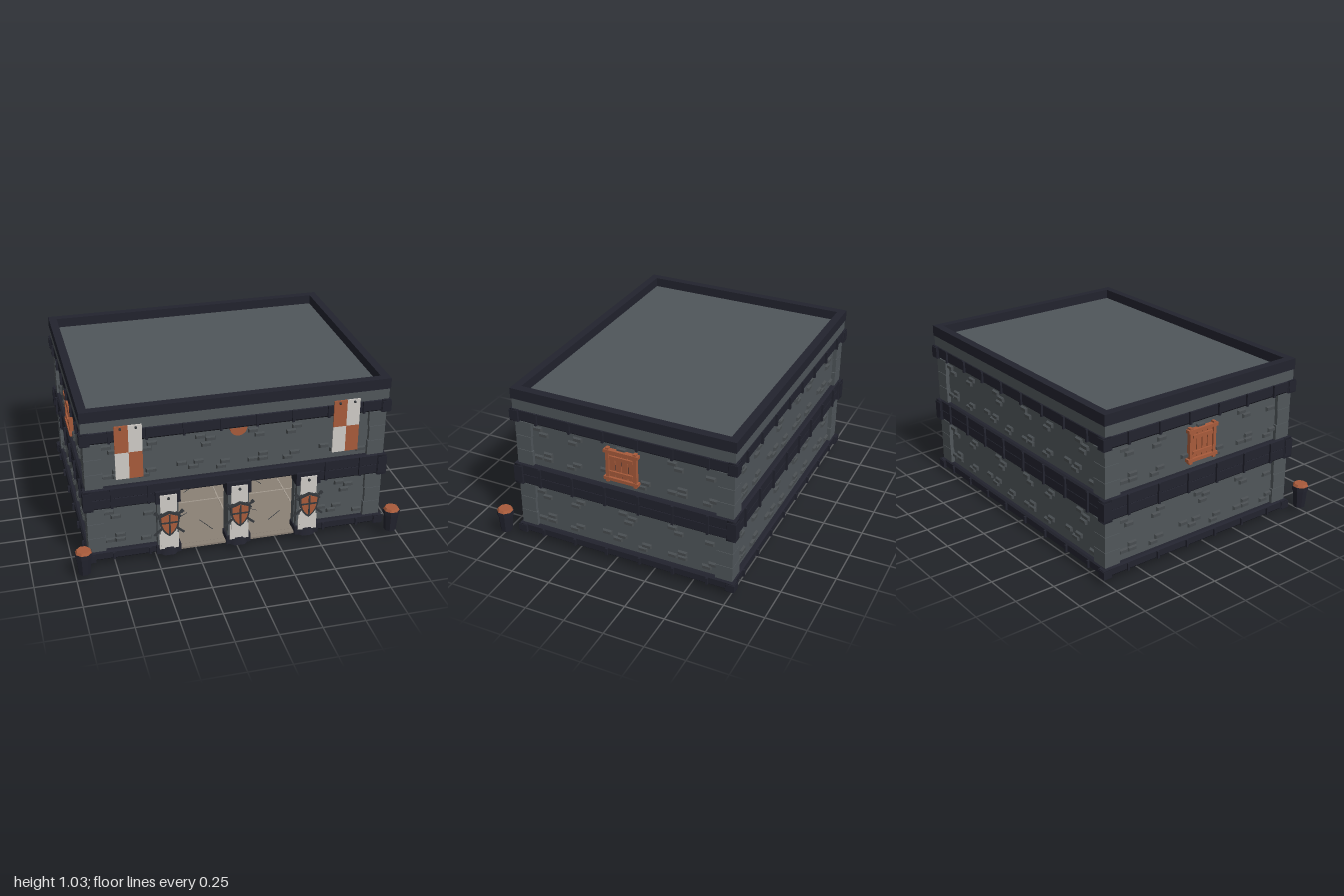
import * as THREE from 'three';

const mat = (name, color) => {
  const m = new THREE.MeshStandardMaterial({ color });
  m.name = name;
  return m;
};
const stone = mat('grey stone', 0x50565a);
const brickStone = mat('dark stone', 0x484d50);
const trim = mat('navy trim', 0x22232e);
const rust = mat('rust orange', 0xa85b3b);
const cloth = mat('white cloth', 0xcfccc7);
const tan = mat('tan floor', 0x8b8176);
const iron = mat('iron', 0x35393d);
const grout = mat('pale joint', 0xa59c90);

function add(parent, name, geo, material, x = 0, y = 0, z = 0) {
  const m = new THREE.Mesh(geo, material);
  m.name = name;
  m.position.set(x, y, z);
  parent.add(m);
  return m;
}
const box = (parent, name, material, w, h, d, x, y, z) =>
  add(parent, name, new THREE.BoxGeometry(w, h, d), material, x, y, z);

// box whose front face is drawn in by c on every side
function chamferBox(w, h, d, c) {
  const g = new THREE.BoxGeometry(w, h, d).toNonIndexed();
  const p = g.attributes.position;
  for (let i = 0; i < p.count; i++) {
    if (p.getZ(i) > 0) {
      p.setX(i, p.getX(i) - Math.sign(p.getX(i)) * c);
      p.setY(i, p.getY(i) - Math.sign(p.getY(i)) * c);
    }
  }
  g.computeVertexNormals();
  return g;
}

// rectangular course around the building, optionally open at the front
function course(hx, hz, t, y0, y1, gap = 0, b = 0) {
  const ix = hx - t, iz = hz - t;
  const pts = (a) => a.map(([x, y]) => new THREE.Vector2(x, y));
  let shape;
  if (gap) {
    shape = new THREE.Shape(pts([[gap, -hz], [hx, -hz], [hx, hz], [-hx, hz], [-hx, -hz], [-gap, -hz],
      [-gap, -iz], [-ix, -iz], [-ix, iz], [ix, iz], [ix, -iz], [gap, -iz]]));
  } else {
    shape = new THREE.Shape(pts([[-hx, -hz], [hx, -hz], [hx, hz], [-hx, hz]]));
    shape.holes.push(new THREE.Path(pts([[-ix, -iz], [-ix, iz], [ix, iz], [ix, -iz]])));
  }
  const g = new THREE.ExtrudeGeometry(shape, {
    depth: y1 - y0 - 2 * b, bevelEnabled: b > 0, bevelSize: b, bevelOffset: -b, bevelThickness: b, bevelSegments: 1,
  });
  return g.rotateX(-Math.PI / 2).translate(0, y0 + b, 0);
}

// scattered raised bricks: offset along the wall, height
const BRICKS = [[0, .35], [.04, .318], [.267, .345], [.233, .312], [.55, .35], [.61, .33], [.585, .295],
  [0, .157], [.063, .188], [.063, .155], [.217, .142], [.258, .169], [.44, .188], [.54, .188],
  [.508, .158], [.675, .137], [.70, .168]];
const WX = 0.885, WZ = 0.67, GAP = 0.36;

function wallDetail(parent, name, angle, half, dist, start, isFront) {
  const g = new THREE.Group();
  g.name = name;
  g.rotation.y = angle;
  parent.add(g);
  const brick = chamferBox(.062, .03, .014, .006);
  for (const lift of [0, .433]) for (const rep of [0, .867]) for (const [u, v] of BRICKS) {
    const x = start + rep + u;
    if (x > half - .1 || (isFront && !lift && Math.abs(x) < .52)) continue;
    add(g, 'brick', brick, brickStone, x, v + lift, dist + .007);
  }
  // ribs on the trim bands
  const n = Math.round(half * 2 / .217);
  for (let i = 0; i < n; i++) {
    const x = (i - (n - 1) / 2) * .217;
    box(g, 'bandRib', trim, .014, .075, .03, x, .862, dist + .028);
    if (isFront && Math.abs(x) < .5) continue;
    box(g, 'bandRib', trim, .014, .125, .03, x, .46, dist + .028);
    box(g, 'baseRib', trim, .014, .045, .03, x, .067, dist + .028);
  }
  return g;
}

// slatted wooden shutter, facing +z
function shutter(parent, dist) {
  const g = new THREE.Group();
  g.name = 'shutter';
  g.position.set(0, .68, dist);
  parent.add(g);
  box(g, 'shutterBack', trim, .18, .18, .008, 0, 0, .004);
  for (const s of [-1, 1]) {
    box(g, 'shutterPost', rust, .02, .225, .025, s * .088, -.002, .014);
    box(g, 'shutterRail', rust, .22, .02, .03, 0, s * .09, .016);
    box(g, 'shutterBar', rust, .145, .022, .024, 0, s * .05, .014);
  }
  for (let i = 0; i < 4; i++) box(g, 'shutterSlat', rust, .034, .165, .014, (i - 1.5) * .04, 0, .009);
}

function heater(w, h) {
  const s = new THREE.Shape();
  s.moveTo(0, h * .5);
  s.lineTo(w * .5, h * .36);
  s.quadraticCurveTo(w * .52, -h * .25, 0, -h * .5);
  s.quadraticCurveTo(-w * .52, -h * .25, -w * .5, h * .36);
  return s;
}

// column with base, cap, hanging cloth, shield and crossed swords
function column(parent, x) {
  const g = new THREE.Group();
  g.name = 'bannerColumn';
  g.position.set(x, 0, .67);
  parent.add(g);
  box(g, 'shaft', stone, .13, .4, .1, 0, .24, -.015);
  add(g, 'columnBase', new THREE.CylinderGeometry(.062, .078, .06, 8), trim, 0, .07, 0).rotation.y = Math.PI / 8;
  box(g, 'columnFoot', trim, .15, .055, .1, 0, .068, 0);
  box(g, 'columnCap', trim, .15, .08, .1, 0, .43, 0);
  box(g, 'cloth', cloth, .1, .37, .008, 0, .265, .056);
  box(g, 'clothFoot', cloth, .116, .1, .008, 0, .13, .055);
  add(g, 'clothPin', new THREE.SphereGeometry(.009, 8, 6), iron, 0, .43, .064);
  for (const s of [-1, 1]) {
    const sword = new THREE.Group();
    sword.name = 'sword';
    sword.position.set(0, .265, .064);
    sword.rotation.z = s * .85;
    g.add(sword);
    box(sword, 'blade', iron, .013, .22, .006, 0, -.01, 0);
    box(sword, 'guard', iron, .045, .01, .01, 0, .075, 0);
    box(sword, 'pommel', iron, .018, .018, .012, 0, .105, 0);
  }
  const ext = (w, h, d) => new THREE.ExtrudeGeometry(heater(w, h), { depth: d, bevelEnabled: false, curveSegments: 6 });
  add(g, 'shieldRim', ext(.125, .17, .014), iron, 0, .262, .064);
  add(g, 'shieldFace', ext(.1, .14, .005), rust, 0, .262, .077);
  box(g, 'shieldCross', iron, .01, .135, .006, 0, .262, .082);
  box(g, 'shieldCross', iron, .096, .01, .006, 0, .275, .082);
}

export function createModel() {
  const model = new THREE.Group();
  model.name = 'keep';
  const b = new THREE.Group();
  b.name = 'building';
  b.position.z = -.065;
  model.add(b);

  // walls, roof and trim courses
  add(b, 'lowerWall', course(WX, WZ, .05, .04, .45, GAP), stone);
  add(b, 'upperWall', course(WX, WZ, .05, .45, .92), stone);
  add(b, 'topCourse', course(.915, .7, .06, .9, .972), stone);
  add(b, 'parapet', course(.92, .705, .05, .968, 1.034), trim);
  box(b, 'roof', stone, 1.78, .02, 1.35, 0, .965, 0);
  box(b, 'ceiling', stone, 1.7, .02, 1.27, 0, .5, 0);
  add(b, 'upperBand', course(.915, .7, .07, .82, .905, 0, .012), trim);
  add(b, 'middleBand', course(.915, .7, .07, .45, .53, 0, .01), trim);
  add(b, 'middleBandLower', course(.915, .7, .07, .39, .465, GAP + .12, .01), trim);
  add(b, 'baseBand', course(.915, .7, .07, .04, .1, GAP, .01), trim);

  // corner piers of stacked blocks with trim caps
  for (const sx of [-1, 1]) for (const sz of [-1, 1]) {
    for (const y0 of [.1, .53]) for (let i = 0; i < 3; i++) {
      const w = i % 2 ? .1 : .105;
      box(b, 'cornerBlock', stone, w, .094, w, sx * (.907 - w / 2), y0 + .048 + i * .097, sz * (.695 - w / 2));
    }
    for (const [y, h] of [[.862, .08], [.46, .135], [.067, .055]]) {
      const cap = new THREE.CylinderGeometry(.037, .04, h, 4, 1).rotateY(Math.PI / 4);
      box(b, 'cornerCap', trim, .055, h * .8, .055, sx * .9, y, sz * .69);
      add(b, 'cornerCapCore', cap, trim, sx * .897, y, sz * .687);
    }
  }

  // wall faces
  const front = wallDetail(b, 'frontDetail', 0, WX, WZ, -.775, true);
  wallDetail(b, 'backDetail', Math.PI, WX, WZ, -.775, false);
  for (const s of [-1, 1]) {
    const side = wallDetail(b, 'sideDetail', s * Math.PI / 2, WZ, WX, -.555, false);
    shutter(side, WX);
  }

  // columns between the doorways
  for (const x of [-.43, 0, .43]) column(b, x);

  // chequered hangings
  for (const x of [-.65, .65]) {
    for (const i of [0, 1]) for (const j of [0, 1]) {
      box(front, 'hangingPatch', i === j ? cloth : rust, .08, .17, .008,
        x + (i ? .04 : -.04), j ? .845 : .675, .712);
    }
    for (const s of [-1, 1]) add(front, 'hangingPin', new THREE.SphereGeometry(.008, 8, 6), iron, x + s * .045, .915, .72);
  }
  // half-round ornament under the upper band
  add(front, 'halfDisc', new THREE.CylinderGeometry(.052, .052, .03, 16, 1, false, -Math.PI / 2, Math.PI)
    .rotateX(Math.PI / 2), rust, 0, .82, .675);

  // floor slab with joints on both faces
  box(b, 'floor', tan, 1.76, .014, 1.34, 0, .05, 0);
  for (const y of [.0425, .0575]) {
    for (let i = -1; i <= 1; i++) box(b, 'floorJoint', grout, .008, .003, 1.3, i * .44, y, 0);
    for (const z of [-.22, .22]) box(b, 'floorJoint', grout, 1.74, .003, .008, 0, y, z);
    for (let i = 0; i < 4; i++) for (let j = 0; j < 3; j++) for (const s of [-1, 1]) {
      const crack = box(b, 'floorCrack', iron, .13, .002, .004, -.66 + i * .44 + s * .07, y, -.44 + j * .44 + s * .06);
      crack.rotation.y = s * .7 + (i + j) % 2 * 1.3;
    }
  }
  box(b, 'doorSill', tan, .72, .012, .06, 0, .05, .675);

  // furniture: chests, hatches, rack and wall target
  for (const s of [-1, 1]) {
    const chest = new THREE.Group();
    chest.name = 'chest';
    chest.position.set(s * .75, 0, -.08);
    b.add(chest);
    box(chest, 'chestBody', rust, .1, .07, .21, 0, .07, 0);
    box(chest, 'chestLid', rust, .08, .02, .2, 0, .115, 0);
    for (const z of [-.075, .075]) {
      box(chest, 'chestStrap', trim, .104, .04, .012, 0, .085, z);
      box(chest, 'chestFoot', rust, .022, .04, .024, s * .018, .02, z);
    }
    box(b, 'floorHatch', rust, .13, .006, .11, s * .68, .041, -.5);
    for (let i = -2; i <= 2; i++) box(b, 'hatchBar', trim, .008, .006, .11, s * .68 + i * .025, .039, -.5);
    box(b, 'rackRunner', iron, .92, .02, .018, 0, .045, -.315 + s * .03);
    box(b, 'rackRail', iron, .8, .012, .012, 0, .33, -.315 + s * .03);
  }
  box(b, 'rackShelf', rust, .78, .02, .1, 0, .2, -.315);
  for (let i = 0; i < 6; i++) box(b, 'rackPost', iron, .012, .3, .012, (i - 2.5) * .15, .19, -.315);
  const disc = new THREE.CylinderGeometry(.15, .15, .02, 20).rotateX(Math.PI / 2);
  add(b, 'wallTarget', disc, rust, 0, .33, -.6);
  add(b, 'targetRim', new THREE.TorusGeometry(.155, .024, 6, 24), trim, 0, .33, -.59);
  for (let i = 0; i < 8; i++) {
    const a = (i + .5) * Math.PI / 4;
    add(b, 'rimStud', new THREE.SphereGeometry(.012, 8, 6), rust, Math.cos(a) * .155, .33 + Math.sin(a) * .155, -.565);
  }

  // planters flanking the front
  for (const s of [-1, 1]) {
    const p = new THREE.Group();
    p.name = 'barrel';
    p.position.set(s * .95, 0, .728);
    p.rotation.y = Math.PI / 8;
    model.add(p);
    const cyl = (name, m, r1, r0, y0, y1) => {
      const g = new THREE.CylinderGeometry(r1, r0, y1 - y0, 8).toNonIndexed();
      g.computeVertexNormals();
      add(p, name, g, m, 0, (y0 + y1) / 2, 0);
    };
    cyl('barrelBody', trim, .047, .037, .04, .155);
    cyl('barrelRim', trim, .052, .052, .155, .182);
    cyl('barrelLid', rust, .04, .05, .182, .197);
  }
  return model;
}
